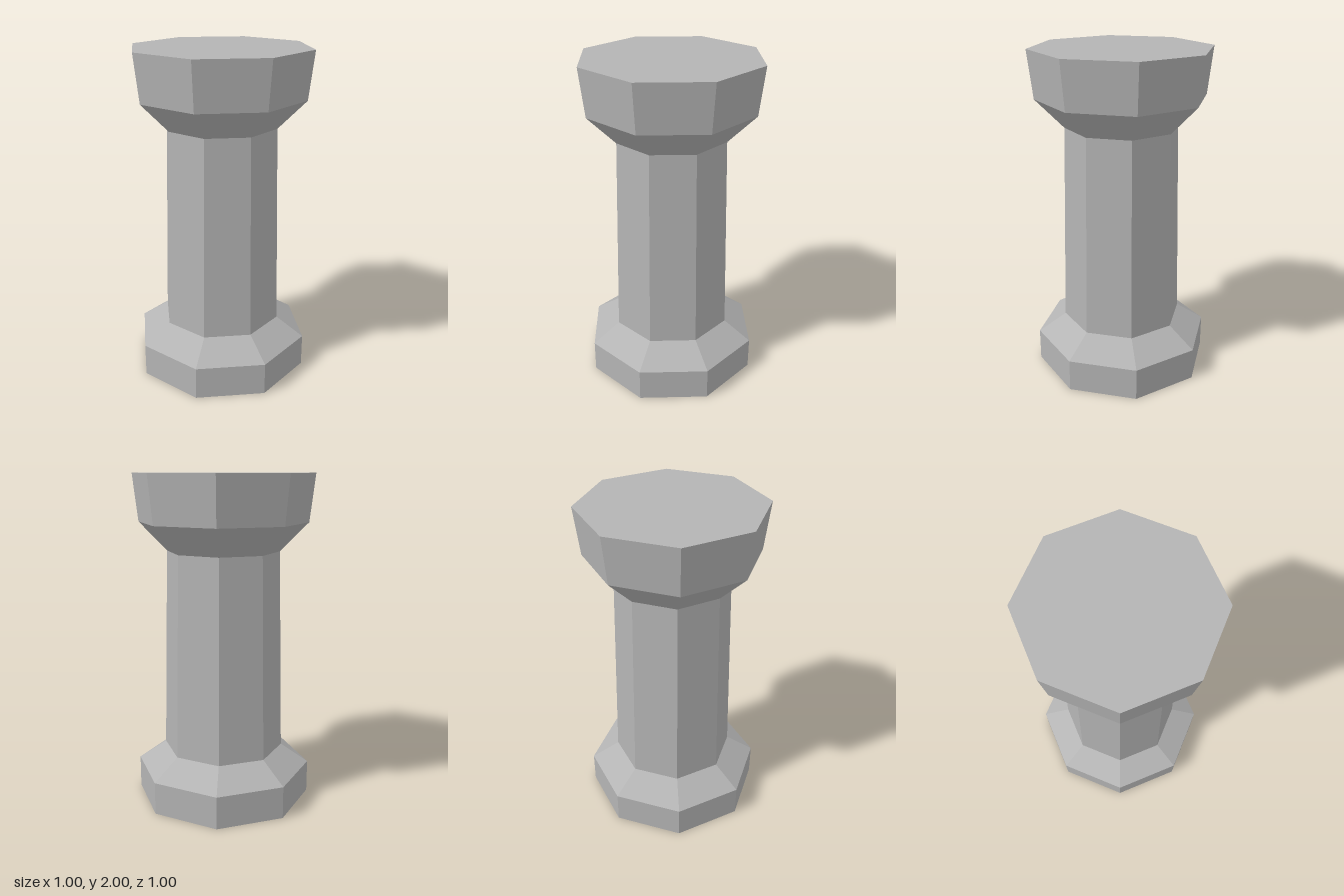
import * as THREE from 'three';

const SIDES = 8;
const corner = (apothem) => apothem / Math.cos(Math.PI / SIDES);

export function createModel() {
  const group = new THREE.Group();
  const stone = new THREE.MeshStandardMaterial({ color: 0xb4b4b4, flatShading: true, side: THREE.DoubleSide });
  stone.name = 'grey stone';

  // open octagonal bands stacked upward: name, bottom y, top y, bottom and top half-widths
  const bands = [
    ['base', 0, 0.2, 0.5, 0.5],
    ['baseSlope', 0.2, 0.316, 0.5, 0.342],
    ['shaft', 0.316, 1.545, 0.342, 0.314],
    ['capitalSlope', 1.545, 1.717, 0.314, 0.47],
    ['capital', 1.717, 2, 0.47, 0.5],
  ];
  for (const [name, y0, y1, r0, r1] of bands) {
    const geometry = new THREE.CylinderGeometry(corner(r1), corner(r0), y1 - y0, SIDES, 1, true, Math.PI / SIDES);
    const mesh = new THREE.Mesh(geometry, stone);
    mesh.name = name;
    mesh.position.y = (y0 + y1) / 2;
    group.add(mesh);
  }

  // flat top; the underside stays open
  const top = new THREE.Mesh(
    new THREE.CircleGeometry(corner(0.5), SIDES, Math.PI / SIDES).rotateX(-Math.PI / 2), stone);
  top.name = 'capitalTop';
  top.position.y = 2;
  group.add(top);

  return group;
}
